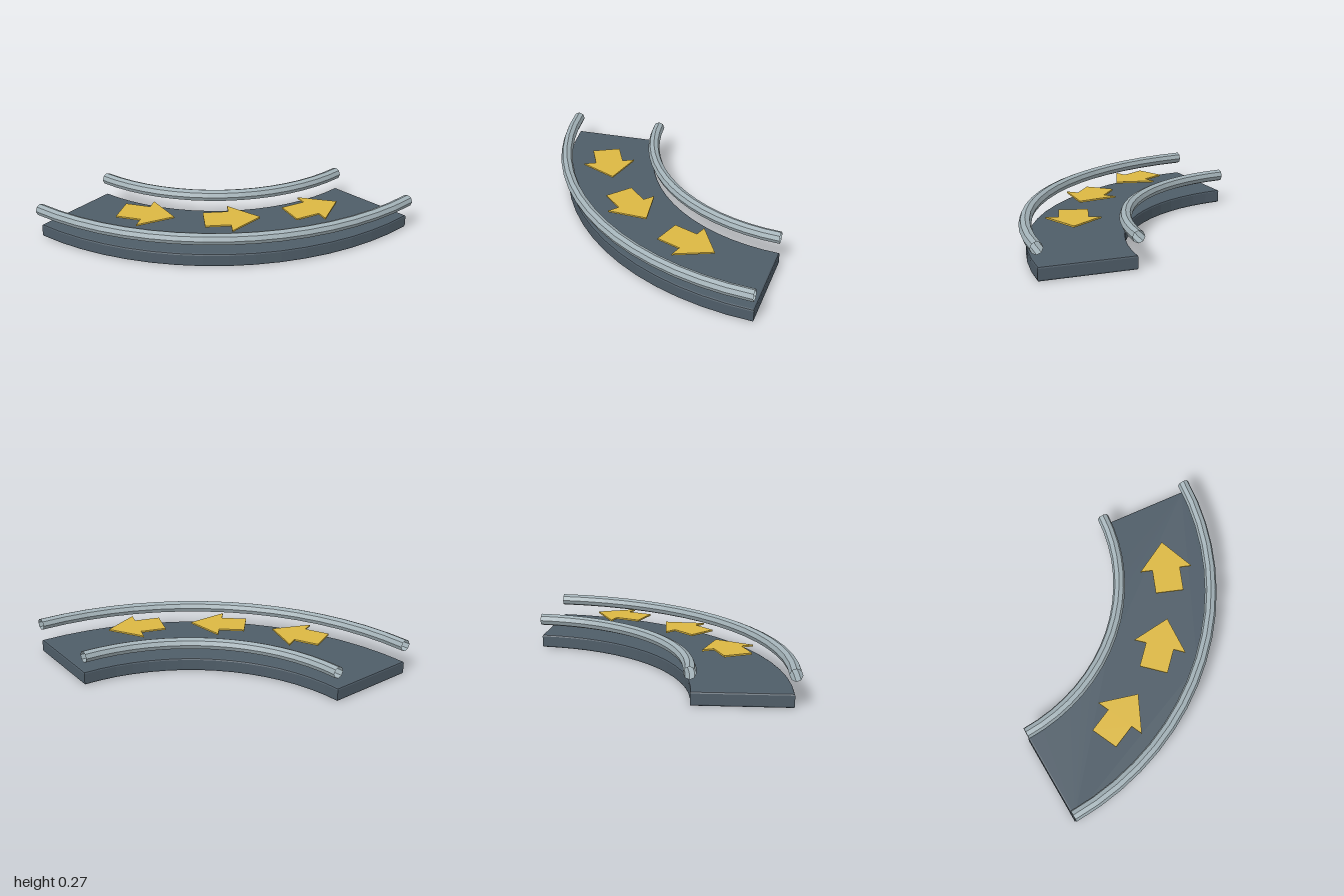
import * as THREE from 'three';

const CENTRE = 1.06;                              // bend centre at (CENTRE, -CENTRE) in x, z
const START = THREE.MathUtils.degToRad(92.6);     // angles run from +x towards +z
const END = THREE.MathUtils.degToRad(177.4);
const STEPS = 16;

function material(color, extra = {}) {
  return new THREE.MeshStandardMaterial({ color, ...extra });
}

// Extrudes a shape drawn in x, z so that its top lies at y = top
function slab(shape, top, height, bevel, mat, name) {
  const geometry = new THREE.ExtrudeGeometry(shape, {
    depth: height - 2 * bevel,
    curveSegments: STEPS / 2,
    bevelEnabled: bevel > 0,
    bevelSize: bevel,
    bevelThickness: bevel,
    bevelOffset: -bevel,
    bevelSegments: 2,
  });
  geometry.rotateX(Math.PI / 2).translate(0, top - bevel, 0);
  const mesh = new THREE.Mesh(geometry, mat);
  mesh.name = name;
  return mesh;
}

export function createModel() {
  const model = new THREE.Group();
  model.name = 'curvedConveyor';

  // Curved bed with softened edges
  const bed = new THREE.Shape();
  bed.absarc(CENTRE, -CENTRE, 2.013, START, END, false);
  bed.absarc(CENTRE, -CENTRE, 1.332, END, START, true);
  bed.closePath();
  model.add(slab(bed, 0.1, 0.1, 0.013, material(0x4f5d68), 'bed'));

  // Open eight-sided tubes along both edges
  const railMaterial = material(0xa3b2b8, { flatShading: true, side: THREE.DoubleSide });
  for (const [name, radius] of [['outerRail', 2.016], ['innerRail', 1.33]]) {
    const geometry = new THREE.TorusGeometry(radius, 0.044, 8, STEPS, END - START);
    geometry.rotateZ(START).rotateX(Math.PI / 2);
    const rail = new THREE.Mesh(geometry, railMaterial);
    rail.name = name;
    rail.position.set(CENTRE, 0.225, -CENTRE);
    model.add(rail);
  }

  // Direction arrows, starting at the middle of the tail
  const arrow = new THREE.Shape([
    [0, -0.104], [0.187, -0.104], [0.187, -0.193], [0.409, 0],
    [0.187, 0.193], [0.187, 0.104], [0, 0.104],
  ].map(([x, y]) => new THREE.Vector2(x, y)));
  const arrowMaterial = material(0xdcb843);
  const places = [[-0.56, -0.525, 64], [-0.267, 0.03, 42.5], [0.22, 0.428, 20]];
  places.forEach(([x, z, degrees], i) => {
    const mesh = slab(arrow, 0.224, 0.012, 0, arrowMaterial, `arrow${i + 1}`);
    mesh.position.set(x, 0, z);
    mesh.rotation.y = -THREE.MathUtils.degToRad(degrees);
    model.add(mesh);
  });

  return model;
}
